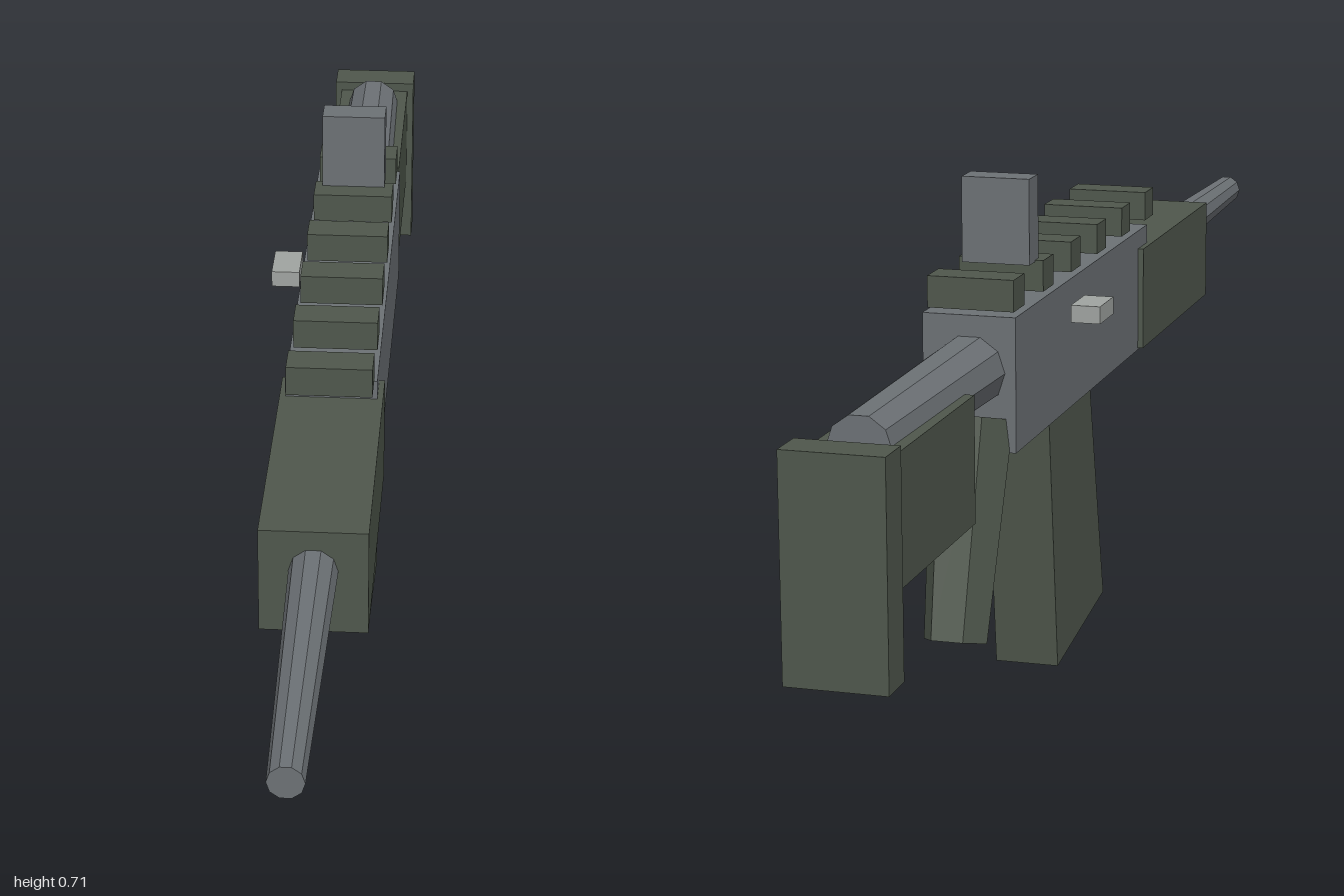
import * as THREE from 'three';

export function createModel() {
  const group = new THREE.Group();
  const paint = (name, color) => {
    const m = new THREE.MeshStandardMaterial({ color, flatShading: true });
    m.name = name;
    return m;
  };
  const olive = paint('darkOlive', 0x4f574c);
  const steel = paint('steelGrey', 0x6c7175);
  const pale = paint('paleGrey', 0xa0a4a1);
  const CX = 0.02; // centre line of the body

  const add = (name, geometry, material) => {
    const mesh = new THREE.Mesh(geometry, material);
    mesh.name = name;
    group.add(mesh);
    return mesh;
  };
  // Box given by its limits on each axis
  const box = (name, material, [x0, x1], [y0, y1], [z0, z1]) =>
    add(name, new THREE.BoxGeometry(x1 - x0, y1 - y0, z1 - z0), material)
      .position.set((x0 + x1) / 2, (y0 + y1) / 2, (z0 + z1) / 2);
  // Tapered faceted rod between two points [y, z] on the centre line
  const rod = (name, material, [ya, za], ra, [yb, zb], rb, sides, turn) => {
    const a = new THREE.Vector3(CX, ya, za), b = new THREE.Vector3(CX, yb, zb);
    const geometry = new THREE.CylinderGeometry(rb, ra, a.distanceTo(b), sides);
    geometry.rotateY(turn);
    const mesh = add(name, geometry, material);
    mesh.position.copy(a).lerp(b, 0.5);
    mesh.rotation.x = Math.atan2(zb - za, yb - ya);
  };

  // Body
  box('receiver', steel, [-0.043, 0.083], [0.375, 0.555], [-0.483, 0.195]);
  box('handguard', olive, [-0.051, 0.091], [0.378, 0.528], [0.142, 0.546]);
  box('sideKnob', pale, [-0.093, -0.052], [0.501, 0.525], [-0.254, -0.185]);

  // Barrel and rear tube
  rod('barrel', steel, [0.47, 0.4], 0.035, [0.47, 1], 0.023, 10, Math.PI / 10);
  rod('rearTube', steel, [0.485, -0.905], 0.041, [0.48, -0.45], 0.049, 10, Math.PI / 10);

  // Stock
  box('stock', olive, [-0.036, 0.075], [0.323, 0.489], [-0.95, -0.637]);
  box('buttPlate', olive, [-0.046, 0.085], [0.218, 0.503], [-1, -0.946]);

  // Top rail blocks and sight
  for (let i = 0; i < 6; i++) {
    const z = 0.225 - i * 0.135;
    box('railBlock', olive, [-0.038, 0.079], [0.56, 0.602], [z - 0.024, z + 0.024]);
  }
  box('sight', steel, [-0.027, 0.066], [0.6, 0.715], [-0.366, -0.324]);

  // Hexagonal leaning grip
  rod('grip', olive, [0.136, -0.552], 0.043, [0.417, -0.472], 0.056, 6, Math.PI / 6);

  // Flared magazine: side profile as [z, y], extruded across x
  const profile = [[0.014, 0.036], [-0.229, 0], [-0.275, 0.42], [-0.072, 0.42]];
  const shape = new THREE.Shape(profile.map(([z, y]) => new THREE.Vector2(-z, y)));
  const magazine = new THREE.ExtrudeGeometry(shape, { depth: 0.09, bevelEnabled: false });
  magazine.translate(0, 0, -0.045).rotateY(Math.PI / 2);
  add('magazine', magazine, olive).position.x = CX;

  return group;
}
